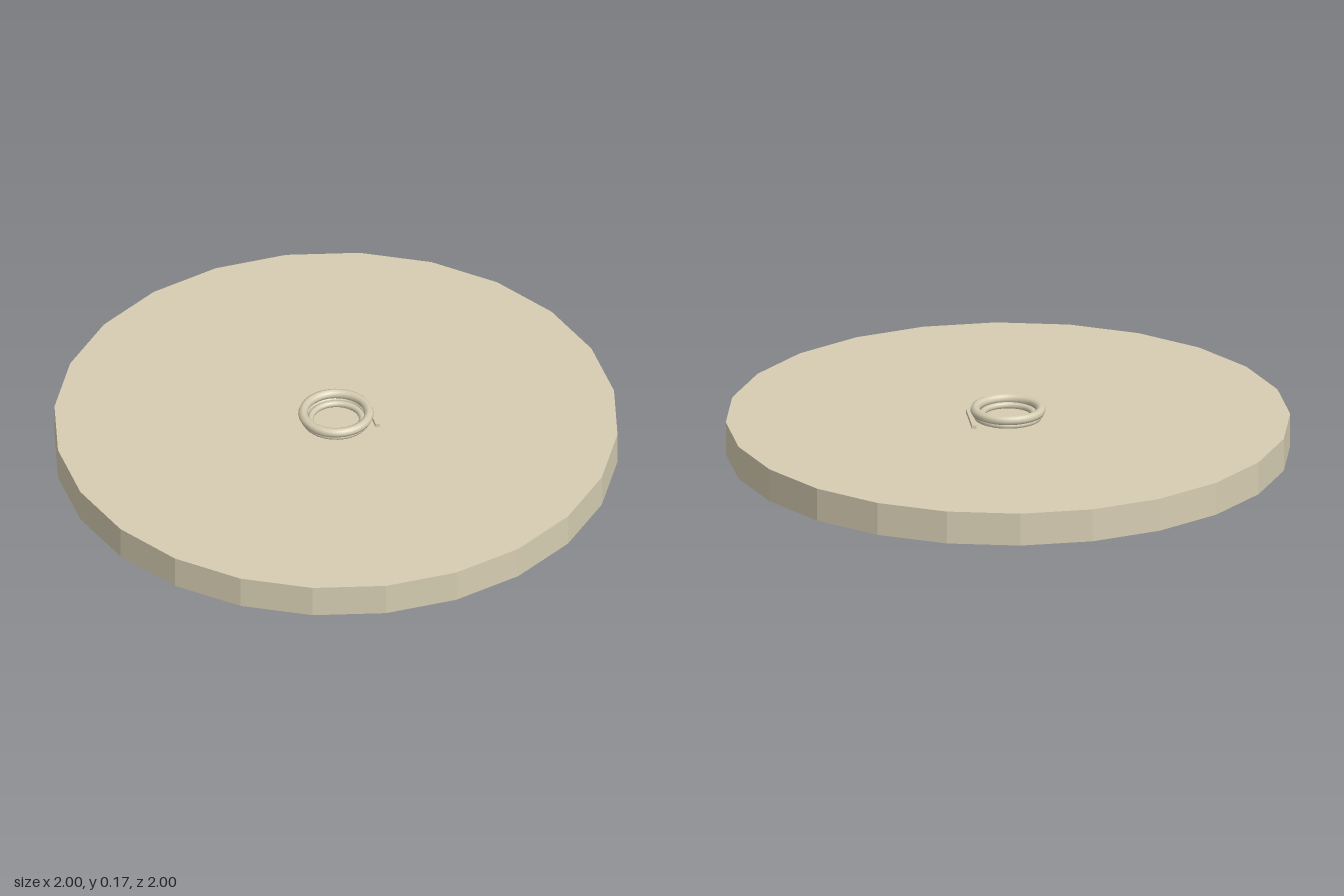
import * as THREE from 'three';

export function createModel() {
  const model = new THREE.Group();
  model.name = 'discWithCoil';
  const sand = new THREE.MeshStandardMaterial({ color: 0xd6cdb2, flatShading: true });
  sand.name = 'sand';
  const rope = new THREE.MeshStandardMaterial({ color: 0xd6cdb2 });
  rope.name = 'rope';

  const add = (name, geometry, material, x, y, z) => {
    const mesh = new THREE.Mesh(geometry, material);
    mesh.name = name;
    mesh.position.set(x, y, z);
    model.add(mesh);
    return mesh;
  };

  // Broad 24-sided base
  add('base', new THREE.CylinderGeometry(1, 1, 0.12, 24), sand, 0, 0.06, 0);

  // Stacked loops of the coil: [name, centre radius, tube radius, x, y, z]
  const loops = [
    ['upperLoop', 0.117, 0.017, 0, 0.152, 0],
    ['lowerLoop', 0.112, 0.011, 0, 0.131, 0],
    ['innerLoop', 0.092, 0.012, 0.004, 0.132, 0.008],
  ];
  for (const [name, radius, tube, x, y, z] of loops) {
    const geometry = new THREE.TorusGeometry(radius, tube, 8, 32).rotateX(Math.PI / 2);
    add(name, geometry, rope, x, y, z);
  }

  // Loose end lying straight beside the coil
  const start = new THREE.Vector3(0.052, 0.127, -0.158);
  const end = new THREE.Vector3(0.153, 0.127, -0.012);
  const middle = start.clone().add(end).multiplyScalar(0.5);
  const tail = add('looseEnd', new THREE.BoxGeometry(0.016, 0.015, start.distanceTo(end)),
    sand, middle.x, middle.y, middle.z);
  tail.rotation.y = Math.atan2(end.x - start.x, end.z - start.z);

  return model;
}
